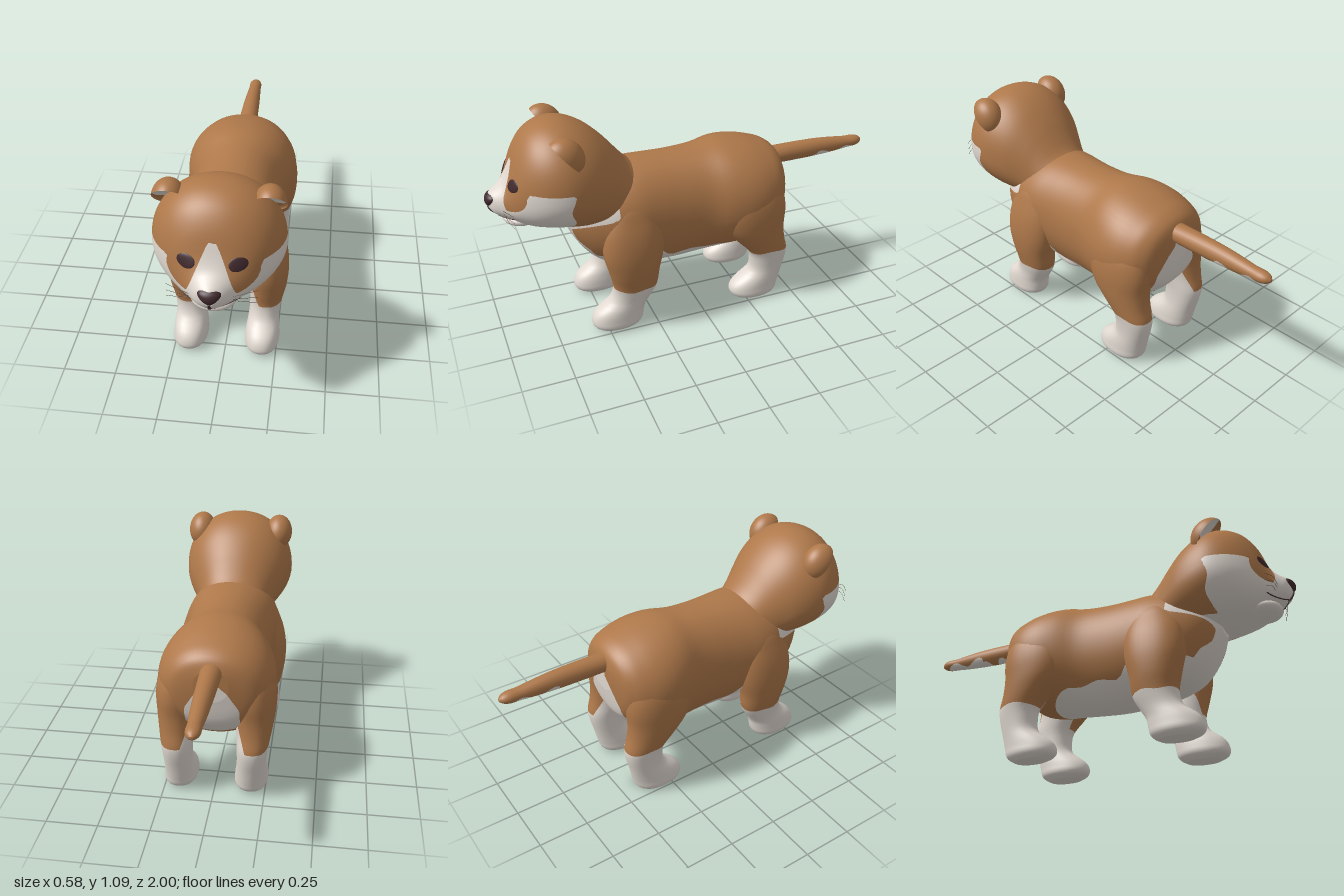
import * as THREE from 'three';

const mat = (name, color) => Object.assign(new THREE.MeshStandardMaterial({ color }), { name });

// Smooth cross-section table: each row is [t, u0, u1, v0, v1]
const sections = (rows) =>
  new THREE.CubicInterpolant(rows.map((r) => r[0]), rows.flatMap((r) => r.slice(1)), 4);
const sym = (rows) => rows.map(([t, a, b, w]) => [t, a, b, -w, w]);

// Closed skin over the sections. Along z: u = y, v = x. Along y: u = z, v = x.
function loft(rows, { axis = 'z', mid = 0.5, power = 1, steps = 56, sides = 56 } = {}) {
  const s = sections(rows), t0 = rows[0][0], t1 = rows.at(-1)[0];
  const pos = [], idx = [];
  const put = (t, u, v) => (axis === 'z' ? pos.push(v, u, t) : pos.push(v, t, u));
  const tri = (a, b, c) => (axis === 'z' ? idx.push(a, b, c) : idx.push(a, c, b));
  const bend = (c) => Math.sign(c) * Math.abs(c) ** power;
  for (let i = 0; i <= steps; i++) {
    const t = t0 + (t1 - t0) * (1 - Math.cos((Math.PI * i) / steps)) / 2;
    const [u0, u1, v0, v1] = s.evaluate(t);
    const um = u0 + (u1 - u0) * mid;
    for (let j = 0; j < sides; j++) {
      const a = (j / sides) * Math.PI * 2, k = bend(Math.sin(a));
      put(t, um + k * (k > 0 ? u1 - um : um - u0), (v0 + v1) / 2 + (bend(Math.cos(a)) * (v1 - v0)) / 2);
    }
  }
  for (let i = 0; i < steps; i++) {
    for (let j = 0; j < sides; j++) {
      const a = i * sides + j, b = i * sides + ((j + 1) % sides);
      tri(a, b, a + sides);
      tri(b, b + sides, a + sides);
    }
  }
  // End caps
  for (const [row, first, end] of [[rows[0], 0, false], [rows.at(-1), steps * sides, true]]) {
    const c = pos.length / 3;
    put(row[0], row[1] + (row[2] - row[1]) * mid, (row[3] + row[4]) / 2);
    for (let j = 0; j < sides; j++) {
      const a = first + j, b = first + ((j + 1) % sides);
      end ? tri(c, a, b) : tri(c, b, a);
    }
  }
  const geo = new THREE.BufferGeometry();
  geo.setAttribute('position', new THREE.Float32BufferAttribute(pos, 3));
  geo.setIndex(idx);
  geo.computeVertexNormals();
  return geo;
}

// Cuts a skin along field = 0: group 0 where the field is positive, group 1 elsewhere
function paint(geo, field) {
  const { position, normal } = geo.attributes, index = geo.index;
  const parts = [{ p: [], n: [] }, { p: [], n: [] }];
  for (let i = 0; i < index.count; i += 3) {
    const v = [0, 1, 2].map((k) => {
      const p = new THREE.Vector3().fromBufferAttribute(position, index.getX(i + k));
      const n = new THREE.Vector3().fromBufferAttribute(normal, index.getX(i + k));
      return { p, n, f: field(Math.abs(p.x), p.y, p.z) || 1e-9 };
    });
    parts.forEach((out, side) => {
      const poly = [];
      v.forEach((a, k) => {
        const b = v[(k + 1) % 3];
        if (side ? a.f < 0 : a.f > 0) poly.push(a);
        if (a.f * b.f < 0) {
          const t = a.f / (a.f - b.f);
          poly.push({ p: a.p.clone().lerp(b.p, t), n: a.n.clone().lerp(b.n, t).normalize() });
        }
      });
      for (let k = 2; k < poly.length; k++) {
        for (const q of [poly[0], poly[k - 1], poly[k]]) {
          out.p.push(q.p.x, q.p.y, q.p.z);
          out.n.push(q.n.x, q.n.y, q.n.z);
        }
      }
    });
  }
  const g = new THREE.BufferGeometry(), [a, b] = parts;
  g.setAttribute('position', new THREE.Float32BufferAttribute(a.p.concat(b.p), 3));
  g.setAttribute('normal', new THREE.Float32BufferAttribute(a.n.concat(b.n), 3));
  g.addGroup(0, a.p.length / 3, 0);
  g.addGroup(a.p.length / 3, b.p.length / 3, 1);
  return g;
}

// Section tables: along z [z, bottom, top, half width], legs [y, zBack, zFront, xInner, xOuter]
const HEAD = sym([
  [0.22, 0.54, 0.77, 0.14], [0.32, 0.53, 0.838, 0.175], [0.37, 0.54, 0.895, 0.19], [0.42, 0.55, 0.955, 0.215],
  [0.5, 0.56, 1.03, 0.258], [0.58, 0.565, 1.075, 0.284], [0.66, 0.577, 1.09, 0.29], [0.74, 0.588, 1.072, 0.268],
  [0.8, 0.598, 1.03, 0.23], [0.85, 0.615, 0.955, 0.182], [0.885, 0.635, 0.865, 0.142], [0.91, 0.645, 0.822, 0.112],
  [0.94, 0.658, 0.797, 0.083], [0.97, 0.678, 0.778, 0.052], [0.985, 0.7, 0.765, 0.02]]);
const BODY = sym([
  [-0.485, 0.56, 0.72, 0.08], [-0.47, 0.46, 0.757, 0.16], [-0.44, 0.4, 0.787, 0.215], [-0.36, 0.32, 0.82, 0.268],
  [-0.26, 0.29, 0.843, 0.285], [-0.16, 0.28, 0.85, 0.27], [-0.05, 0.265, 0.834, 0.235], [0.1, 0.255, 0.825, 0.23],
  [0.22, 0.262, 0.825, 0.24], [0.32, 0.275, 0.822, 0.252], [0.42, 0.3, 0.805, 0.242], [0.5, 0.335, 0.78, 0.212],
  [0.56, 0.395, 0.75, 0.178], [0.61, 0.475, 0.71, 0.13], [0.645, 0.55, 0.65, 0.06]]);
const TAIL = sym([
  [-1, 0.698, 0.712, 0.008], [-0.985, 0.686, 0.725, 0.024], [-0.9, 0.672, 0.735, 0.033],
  [-0.75, 0.66, 0.75, 0.042], [-0.6, 0.657, 0.753, 0.047], [-0.44, 0.66, 0.75, 0.052]]);
const FRONT_LEG = [
  [0.003, 0.36, 0.53, 0.125, 0.235], [0.02, 0.33, 0.565, 0.1, 0.256], [0.07, 0.31, 0.572, 0.094, 0.26],
  [0.11, 0.303, 0.545, 0.1, 0.257], [0.15, 0.28, 0.49, 0.106, 0.254], [0.22, 0.242, 0.462, 0.108, 0.265],
  [0.32, 0.228, 0.48, 0.108, 0.285], [0.42, 0.207, 0.503, 0.105, 0.291], [0.52, 0.203, 0.5, 0.1, 0.279],
  [0.6, 0.215, 0.48, 0.09, 0.255], [0.68, 0.245, 0.44, 0.09, 0.22], [0.74, 0.29, 0.39, 0.1, 0.16]];
const HIND_LEG = [
  [0.003, -0.39, -0.22, 0.125, 0.235], [0.02, -0.42, -0.185, 0.1, 0.255], [0.07, -0.44, -0.178, 0.096, 0.258],
  [0.1, -0.447, -0.205, 0.1, 0.256], [0.15, -0.458, -0.27, 0.108, 0.252], [0.22, -0.474, -0.282, 0.11, 0.256],
  [0.27, -0.478, -0.272, 0.108, 0.262], [0.34, -0.46, -0.21, 0.1, 0.275], [0.42, -0.452, -0.14, 0.085, 0.287],
  [0.52, -0.458, -0.11, 0.07, 0.291], [0.6, -0.447, -0.12, 0.06, 0.277], [0.68, -0.41, -0.16, 0.06, 0.235],
  [0.74, -0.35, -0.22, 0.08, 0.16]];
const HEAD_SHAPE = { mid: 0.42, power: 0.95, steps: 72, sides: 72 };

// Depth of the face surface at (x, y)
const headSections = sections(HEAD);
function faceZ(x, y) {
  let lo = 0.66, hi = 0.985;
  for (let i = 0; i < 30; i++) {
    const z = (lo + hi) / 2, [b, t, , w] = headSections.evaluate(z);
    const m = b + (t - b) * HEAD_SHAPE.mid, e = 2 / HEAD_SHAPE.power;
    const r = Math.abs(x / w) ** e + Math.abs((y - m) / (y > m ? t - m : m - b)) ** e;
    r < 1 ? (lo = z) : (hi = z);
  }
  return lo;
}

// White markings: positive where the coat is white
const { abs, min, max, hypot, sin } = Math;
const headMarks = (x, y, z) => {
  const eyePatch = 0.08 * (1 - hypot((x - 0.11) / 0.085, (y - 0.8) / 0.08));
  const cheeks = min(0.832 - y, z - 0.645 + 0.012 * sin(y * 40), -eyePatch);
  const blaze = min(0.02 + (0.92 - y) * 0.42 - x, 0.925 - y, z - 0.7);
  return max(cheeks, blaze, min(0.6 - y, z - 0.58));
};
const bodyMarks = (x, y, z) => max(
  0.352 + min(0.05, max(0, z - 0.16)) + min(0, z + 0.1) * 0.4 + 0.008 * sin(z * 30) - y,
  min(0.09 + max(0, y - 0.55) * 2 + min(0.045, max(0, 0.49 - y)) - x, z - 0.42),
  min(0.04 + max(0, 0.66 - y) * 0.6 - x, 0.13 - x, 0.66 - y, -0.4 - z));
const tailMarks = (x, y, z) => max(
  min(0.684 + 0.014 * sin(z * 40) - y, -0.72 - z),
  min(0.662 + 0.012 * sin(z * 60) - y, -0.48 - z));
const frontLegMarks = (x, y, z) => max(0.23 + 0.005 * sin(z * 45) - y, 0.4 - y - (x - 0.1) * 3);
const hindLegMarks = (x, y, z) => max(0.28 + 0.008 * sin(z * 30) - y, 0.5 - y - (x - 0.08) * 3);
const earMarks = (x, y) => 1 - (abs(x - 0.236) / 0.042) ** 3 - (abs(y - 1.018) / 0.046) ** 3;

export function createModel() {
  const model = new THREE.Group();
  model.name = 'puppy';
  const white = mat('white fur', 0xe0d8d0), brown = mat('brown fur', 0xae784a);
  const dark = mat('dark eye and nose', 0x40292d), whiskerMat = mat('whisker', 0x5c4a42);
  const coat = [white, brown];
  const add = (name, geo, material) => {
    const m = new THREE.Mesh(geo, material);
    m.name = name;
    model.add(m);
    return m;
  };

  add('body', paint(loft(BODY, { power: 0.96 }), bodyMarks), coat);
  add('head', paint(loft(HEAD, HEAD_SHAPE), headMarks), coat);
  add('tail', paint(loft(TAIL, { steps: 40, sides: 24 }), tailMarks), coat);

  const ball = (rx, ry, rz) => new THREE.SphereGeometry(1, 32, 20).scale(rx, ry, rz);
  add('chin', ball(0.1, 0.038, 0.09), white).position.set(0, 0.633, 0.84);

  // Nose, narrowing towards the lip
  const nose = ball(0.045, 0.037, 0.037), np = nose.attributes.position;
  for (let i = 0; i < np.count; i++) np.setX(i, np.getX(i) * (1 + np.getY(i) * 13));
  nose.computeVertexNormals();
  add('nose', nose, dark).position.set(0, 0.737, 0.963);

  const line = (pts, r, n) => new THREE.TubeGeometry(new THREE.CatmullRomCurve3(pts), n, r, 6);
  const onFace = (x, y) => new THREE.Vector3(x, y, faceZ(x, y));
  add('lip groove', line([0.71, 0.69, 0.67].map((y) => onFace(0, y)), 0.007, 8), dark);
  add('mouth', line([[-0.115, 0.672], [-0.08, 0.664], [-0.035, 0.663], [0, 0.67], [0.035, 0.663],
    [0.08, 0.664], [0.115, 0.672]].map(([x, y]) => onFace(x, y)), 0.003, 32), dark);

  for (const s of [1, -1]) {
    const side = s > 0 ? 'left' : 'right';
    const leg = (rows) => loft(s > 0 ? rows : rows.map(([t, a, b, c, d]) => [t, a, b, -d, -c]),
      { axis: 'y', power: 0.9, steps: 48, sides: 36 });
    add(side + ' front leg', paint(leg(FRONT_LEG), frontLegMarks), coat);
    add(side + ' hind leg', paint(leg(HIND_LEG), hindLegMarks), coat);

    // Eye: a thin lens that follows the face
    const eye = ball(0.039, 0.029, 0.006), ep = eye.attributes.position;
    for (let i = 0; i < ep.count; i++) {
      const x = ep.getX(i) + s * 0.107, y = ep.getY(i) + 0.84;
      ep.setXYZ(i, x, y, ep.getZ(i) + faceZ(x, y));
    }
    eye.computeVertexNormals();
    add(side + ' eye', eye, dark);

    // Ear: broad back merging into the head, hollow front tipped forward with a white inside
    const earHalf = (start, depth) => {
      const g = new THREE.SphereGeometry(1, 32, 32, start, Math.PI).scale(0.072, 0.095, depth);
      g.rotateX(0.7).translate(s * 0.212, 0.987, 0.655).computeVertexNormals();
      return g;
    };
    add(side + ' ear back', earHalf(Math.PI, 0.085), brown);
    add(side + ' ear hollow', paint(earHalf(0, -0.02), earMarks), coat);

    // Whiskers
    [[0.715, 0.73], [0.7, 0.695], [0.685, 0.665]].forEach(([y0, y1]) => {
      const a = onFace(s * 0.09, y0), b = new THREE.Vector3(s * 0.19, y1, 0.9);
      const m = a.clone().lerp(b, 0.5).add(new THREE.Vector3(0, 0.008, 0.01));
      add(side + ' whisker', line([a, m, b], 0.001, 8), whiskerMat);
    });
  }
  return model;
}
